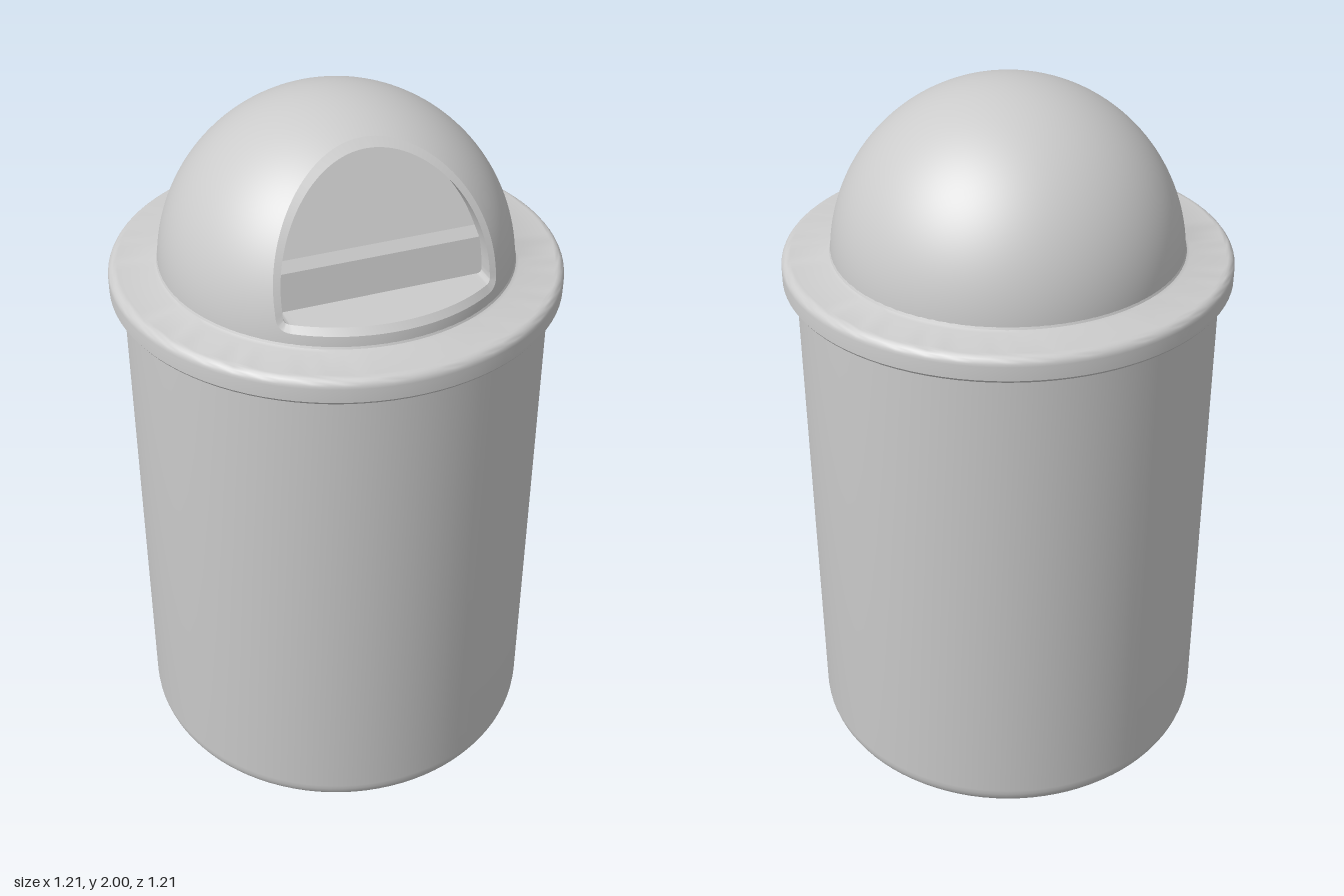
import * as THREE from 'three';
import { toCreasedNormals } from 'three/addons/utils/BufferGeometryUtils.js';

const CY = 1.525, R = 0.475;            // dome centre height and radius
const HALF = 0.275, SILL = 1.6, SPRING = 1.64, RISE = 0.305; // opening size

const grey = new THREE.MeshStandardMaterial({ color: 0xcccccc });
const V2 = (x, y) => new THREE.Vector2(x, y);

function add(group, name, geometry, crease = 0.6) {
  const mesh = new THREE.Mesh(crease ? toCreasedNormals(geometry, crease) : geometry, grey);
  mesh.name = name;
  group.add(mesh);
}

// Surface through closed rows of points (row direction x loop direction = normal)
function loft(rows) {
  const n = rows[0].length, pos = [], index = [];
  rows.forEach(row => row.forEach(p => pos.push(p.x, p.y, p.z)));
  for (let j = 0; j < rows.length - 1; j++) {
    for (let i = 0; i < n; i++) {
      const a = j * n + i, d = j * n + (i + 1) % n;
      index.push(a, a + n, d + n, a, d + n, d);
    }
  }
  const g = new THREE.BufferGeometry();
  g.setAttribute('position', new THREE.Float32BufferAttribute(pos, 3));
  g.setIndex(index);
  g.computeVertexNormals();
  return g;
}

// Arched opening outline, counter-clockwise, grown by d
function outline(d) {
  const w = HALF + d, b = SILL - d, r = 0.015 + d;
  const path = new THREE.Path();
  path.moveTo(-w + r, b);
  path.lineTo(w - r, b);
  path.quadraticCurveTo(w, b, w, b + r);
  path.lineTo(w, SPRING);
  path.absellipse(0, SPRING, w, RISE + d, 0, Math.PI, false, 0);
  path.lineTo(-w, b + r);
  path.quadraticCurveTo(-w, b, -w + r, b);
  const counts = [30, 6, 3, 90, 3, 6];
  const curves = path.curves.filter(c => c.getLength() > 1e-6);
  return curves.flatMap((c, k) => c.getPoints(counts[k] || 6).slice(0, -1));
}

const sphereZ = p => Math.sqrt(R * R - p.x * p.x - (p.y - CY) ** 2);

// Depth of the flap at height y: steep foot, small ledge, sloping panel
function flapZ(y) {
  if (y < 1.695) return 0.32 - (y - 1.59) * 0.19;
  if (y < 1.72) return 0.3 - (y - 1.695) * 0.8;
  return 0.28 - (y - 1.72) * 0.46;
}

export function createModel() {
  const model = new THREE.Group();
  model.name = 'domeTopBin';

  // Body with rounded foot
  const body = [V2(0, 0), V2(0.49, 0)];
  for (let i = 0; i <= 8; i++) {
    const a = i / 8 * Math.PI / 2;
    body.push(V2(0.495 + 0.075 * Math.sin(a), 0.08 - 0.075 * Math.cos(a)));
  }
  body.push(V2(0.57, 1.5));
  add(model, 'body', new THREE.LatheGeometry(body, 96));

  // Lid rim with rounded top edge and a hollow underside
  const rim = [V2(0.565, 1.495), V2(0.585, 1.495), V2(0.588, 1.475), V2(0.6, 1.475), V2(0.605, 1.482)];
  for (let i = 0; i <= 6; i++) {
    const a = i / 6 * Math.PI / 2;
    rim.push(V2(0.58 + 0.025 * Math.cos(a), 1.52 + 0.025 * Math.sin(a)));
  }
  rim.push(V2(0.485, 1.545), V2(0.477, 1.549), V2(0.473, 1.557));
  add(model, 'lidRim', new THREE.LatheGeometry(rim, 96));

  // Dome: great-circle arcs run from the opening edge to the equator
  const edge = outline(0.018).map(p => new THREE.Vector3(p.x, p.y, sphereZ(p)));
  const centre = V2(0, 1.76);
  const axis = new THREE.Vector3(0, centre.y - CY, sphereZ(centre)).normalize();
  const arcs = edge.map(p => {
    const from = p.clone().setY(p.y - CY).normalize();
    const to = from.clone().addScaledVector(axis, -from.y / axis.y).normalize();
    return { from, to, angle: from.angleTo(to) };
  });
  const rows = [], STEPS = 40;
  for (let j = 0; j <= STEPS; j++) {
    const t = j / STEPS;
    rows.push(arcs.map(({ from, to, angle }) => {
      const s = Math.sin(angle);
      return from.clone().multiplyScalar(Math.sin((1 - t) * angle) / s)
        .addScaledVector(to, Math.sin(t * angle) / s)
        .multiplyScalar(R);
    }));
  }
  const dome = loft(rows);
  const normals = rows.flat().flatMap(p => [p.x / R, p.y / R, p.z / R]);
  dome.setAttribute('normal', new THREE.Float32BufferAttribute(normals, 3));
  dome.translate(0, CY, 0);
  add(model, 'dome', dome, 0);

  // Bevelled frame and walls of the opening, reaching back to the flap
  const inner = outline(0);
  add(model, 'openingFrame', loft([
    inner.map(p => new THREE.Vector3(p.x, p.y, flapZ(p.y))),
    inner.map(p => new THREE.Vector3(p.x, p.y, sphereZ(p) - 0.012)),
    edge,
  ]));

  // Flap closing the opening
  const ys = [1.59, 1.64, 1.695, 1.72];
  for (let i = 1; i <= 16; i++) ys.push(1.72 + 0.225 * Math.sin(i / 16 * Math.PI / 2));
  ys.reverse();
  const flap = new THREE.PlaneGeometry(2, 1, 1, ys.length - 1);
  const pos = flap.attributes.position;
  for (let i = 0; i < pos.count; i++) {
    const y = ys[i >> 1];
    const k = Math.max(0, y - SPRING) / RISE;
    const half = HALF * Math.sqrt(Math.max(0, 1 - k * k)) + 0.008;
    pos.setXYZ(i, Math.sign(pos.getX(i)) * half, y, flapZ(y));
  }
  add(model, 'flap', flap, 0.2);

  return model;
}
